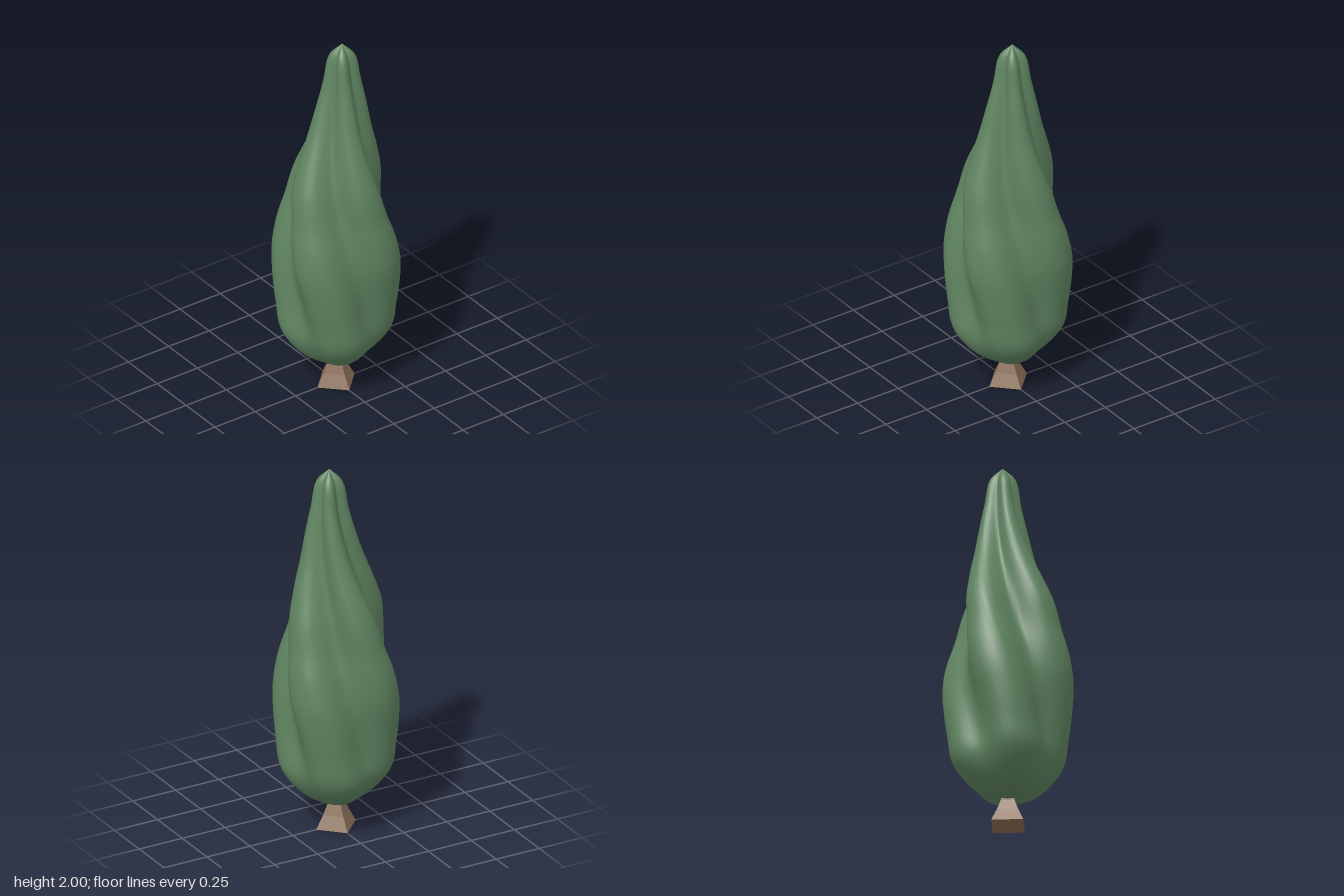
import * as THREE from 'three';

const leafGreen = new THREE.MeshStandardMaterial({ color: 0x5f8460 });
const barkBrown = new THREE.MeshStandardMaterial({ color: 0x8a6e56 });
leafGreen.name = 'leafGreen';
barkBrown.name = 'barkBrown';

// Foliage levels: lobe radius, height, groove direction in degrees from +z towards +x
const LEVELS = [
  [0, 0.135, 119], [0.06, 0.143, 118], [0.14, 0.178, 116], [0.222, 0.25, 112],
  [0.284, 0.345, 106], [0.305, 0.48, 97], [0.324, 0.63, 88], [0.335, 0.78, 78],
  [0.322, 0.92, 70], [0.293, 1.05, 62], [0.268, 1.2, 53], [0.22, 1.35, 44],
  [0.168, 1.5, 35], [0.128, 1.65, 26], [0.095, 1.79, 18], [0.065, 1.935, 10], [0, 2, 6],
];

// Four swelling lobes that twist around the axis as they climb
function foliageGeometry(rings = 64, sides = 64) {
  const curve = new THREE.CatmullRomCurve3(
    LEVELS.map(([r, y, deg]) => new THREE.Vector3(r, y, THREE.MathUtils.degToRad(deg))));
  const positions = [], indices = [];
  for (let i = 0; i <= rings; i++) {
    const { x: radius, y, z: groove } = curve.getPoint(i / rings);
    const lean = 0.038 * THREE.MathUtils.smoothstep(y, 1.1, 1.8);
    // grooves are faint at the rounded base and deepen towards the top
    const depth = 0.11 + 0.16 * THREE.MathUtils.smoothstep(y, 0.15, 0.6)
      + 0.11 * THREE.MathUtils.smoothstep(y, 0.6, 1.3);
    for (let j = 0; j < sides; j++) {
      const turn = (j / sides) * Math.PI * 2;
      const r = Math.max(radius, 0) * (1 - depth * Math.abs(Math.cos(2 * turn)) ** 3);
      positions.push(lean + r * Math.sin(groove + turn), y, r * Math.cos(groove + turn));
    }
  }
  for (let i = 0; i < rings; i++) {
    for (let j = 0; j < sides; j++) {
      const a = i * sides + j, b = i * sides + (j + 1) % sides;
      if (i > 0) indices.push(a, b, b + sides);
      if (i < rings - 1) indices.push(a, b + sides, a + sides);
    }
  }
  const geometry = new THREE.BufferGeometry();
  geometry.setAttribute('position', new THREE.Float32BufferAttribute(positions, 3));
  geometry.setIndex(indices);
  geometry.computeVertexNormals();
  return geometry;
}

// Flared four-sided trunk with a corner facing front
function trunkGeometry() {
  const profile = [[0, 0], [0.115, 0], [0.076, 0.07], [0.049, 0.13], [0.045, 0.2]]
    .map(([r, y]) => new THREE.Vector2(r, y));
  const geometry = new THREE.LatheGeometry(profile, 4).toNonIndexed();
  geometry.computeVertexNormals();
  return geometry;
}

export function createModel() {
  const tree = new THREE.Group();
  tree.name = 'cypressTree';

  const foliage = new THREE.Mesh(foliageGeometry(), leafGreen);
  foliage.name = 'foliage';

  const trunk = new THREE.Mesh(trunkGeometry(), barkBrown);
  trunk.name = 'trunk';

  tree.add(foliage, trunk);
  return tree;
}
